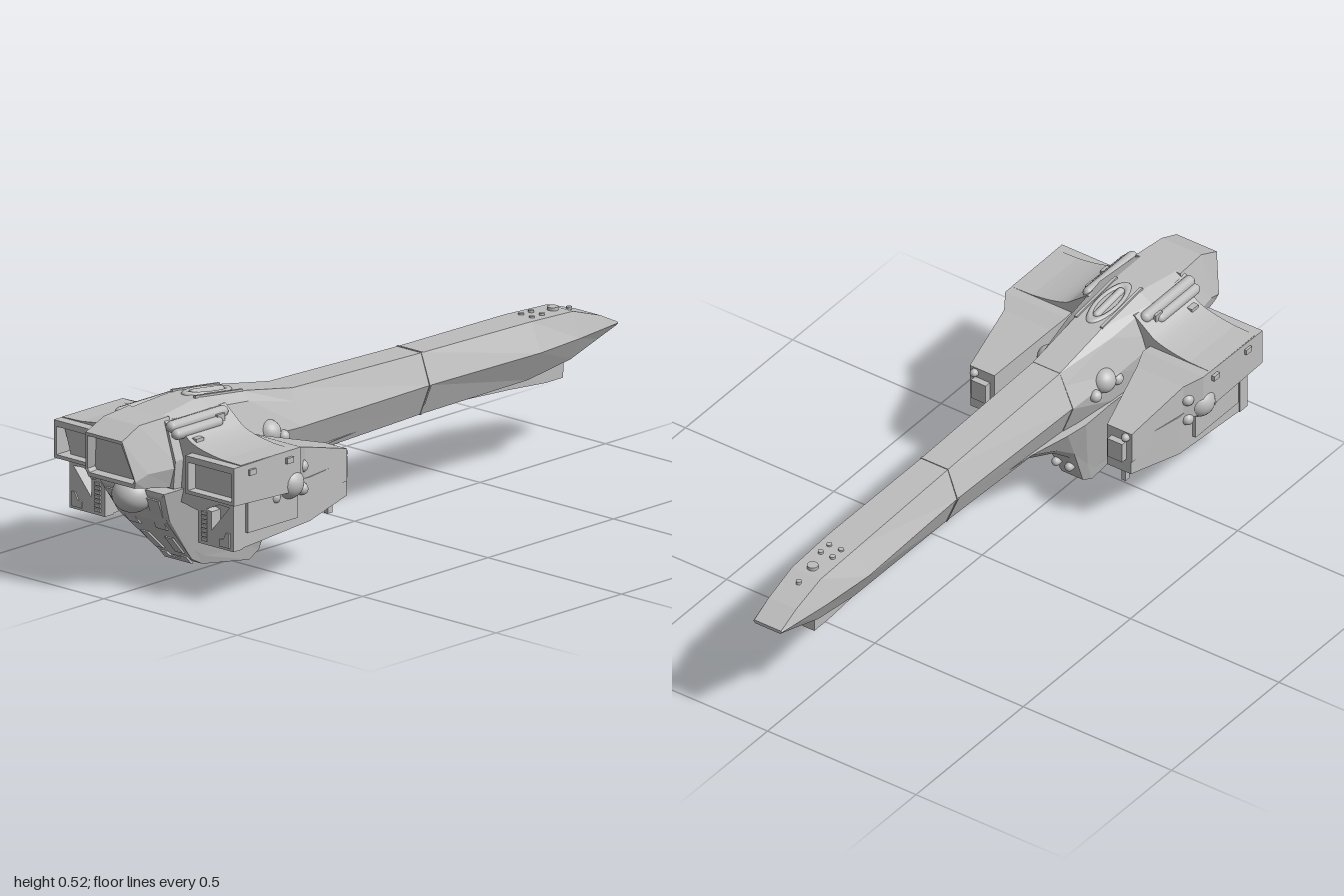
import * as THREE from 'three';

const grey = new THREE.MeshStandardMaterial({ color: 0xbdbdbd });
grey.name = 'hull grey';

// Skin a list of rings (counter-clockwise from +z, front to back) and cap both ends
function loft(rings) {
  const pos = [];
  const tri = (...p) => p.forEach(v => pos.push(...v));
  const n = rings[0].length;
  for (let r = 0; r < rings.length - 1; r++) {
    const A = rings[r], B = rings[r + 1];
    for (let i = 0; i < n; i++) {
      const j = (i + 1) % n;
      tri(A[i], B[i], A[j]);
      tri(A[j], B[i], B[j]);
    }
  }
  const F = rings[0], L = rings[rings.length - 1];
  for (let i = 1; i < n - 1; i++) {
    tri(F[0], F[i], F[i + 1]);
    tri(L[0], L[i + 1], L[i]);
  }
  const g = new THREE.BufferGeometry();
  g.setAttribute('position', new THREE.Float32BufferAttribute(pos, 3));
  g.computeVertexNormals();
  return g;
}

// Ring from a right-hand half profile, listed top to bottom; a point may carry its own z
function sym(z, ...half) {
  const pts = half.map(([x, y, pz = z]) => [x, y, pz]);
  return [...pts.map(([x, y, pz]) => [-x, y, pz]), ...pts.reverse()];
}
const rect = (z, x0, x1, y0, y1) => [[x0, y1, z], [x0, y0, z], [x1, y0, z], [x1, y1, z]];

function mirrored(geo) {
  const g = geo.index ? geo.toNonIndexed() : geo.clone();
  g.scale(-1, 1, 1);
  for (const a of Object.values(g.attributes)) {
    const s = a.itemSize;
    for (let t = 0; t < a.count; t += 3) {
      for (let k = 0; k < s; k++) {
        const i = (t + 1) * s + k, j = (t + 2) * s + k;
        [a.array[i], a.array[j]] = [a.array[j], a.array[i]];
      }
    }
  }
  return g;
}

const box = (w, h, d, x, y, z) => new THREE.BoxGeometry(w, h, d).translate(x, y, z);
const ball = (r, x, y, z) => new THREE.SphereGeometry(r, 24, 16).translate(x, y, z);
const rod = (r, len, x, y, z) =>
  new THREE.CapsuleGeometry(r, len, 4, 12).rotateX(Math.PI / 2).translate(x, y, z);

function plate(points, depth, hole) {
  const shape = new THREE.Shape(points.map(p => new THREE.Vector2(...p)));
  if (hole) shape.holes.push(new THREE.Path(hole.map(p => new THREE.Vector2(...p))));
  return new THREE.ExtrudeGeometry(shape, { depth, bevelEnabled: false });
}

export function createModel() {
  const model = new THREE.Group();
  const add = (name, geo) => {
    const m = new THREE.Mesh(geo, grey);
    m.name = name;
    model.add(m);
  };
  const pair = (name, geo) => {
    add(name + 'Left', geo);
    add(name + 'Right', mirrored(geo));
  };

  // Long tail boom
  const boom = (z, ty, tw, mw, by, bw) => sym(z, [tw, ty], [mw, 0.355], [bw, by]);
  add('tailBoom', loft([
    boom(0.4, 0.47, 0.045, 0.09, 0.26, 0.05),
    boom(0.3, 0.456, 0.045, 0.088, 0.255, 0.05),
    boom(-0.22, 0.442, 0.045, 0.076, 0.265, 0.04),
    boom(-0.65, 0.436, 0.05, 0.088, 0.268, 0.04),
    boom(-0.82, 0.428, 0.048, 0.073, 0.29, 0.04),
    boom(-0.93, 0.392, 0.046, 0.058, 0.325, 0.04),
    boom(-1, 0.358, 0.045, 0.048, 0.348, 0.042),
  ]));
  add('boomSeam', loft([
    boom(-0.217, 0.444, 0.046, 0.079, 0.263, 0.041),
    boom(-0.223, 0.444, 0.046, 0.079, 0.263, 0.041),
  ]));
  add('tailKeel', loft([
    sym(-0.35, [0.02, 0.28], [0.02, 0.262]),
    sym(-0.6, [0.022, 0.28], [0.02, 0.247]),
    sym(-0.74, [0.022, 0.3], [0.02, 0.235]),
    sym(-0.81, [0.022, 0.3], [0.02, 0.235]),
  ]));
  for (const [x, z, r] of [[0, -0.79, 0.016], [0, -0.855, 0.008], [0.02, -0.725, 0.008],
    [-0.02, -0.725, 0.008], [0.02, -0.685, 0.008], [-0.02, -0.685, 0.008]]) {
    add('tailStud', new THREE.CylinderGeometry(r, r, 0.02, 16).translate(x, z < -0.82 ? 0.414 : 0.429, z));
  }

  // Central hull
  add('hull', loft([
    sym(0.84, [0.06, 0.496], [0.085, 0.482], [0.118, 0.38], [0.11, 0.3]),
    sym(0.67, [0.045, 0.513], [0.088, 0.49], [0.128, 0.4], [0.12, 0.29]),
    sym(0.5, [0.045, 0.493], [0.075, 0.47], [0.108, 0.37], [0.095, 0.27]),
    sym(0.3, [0.045, 0.457], [0.06, 0.42], [0.09, 0.355], [0.052, 0.255]),
  ]));

  // Cockpit with its recessed, raked window
  add('cockpit', loft([
    sym(0.95, [0.061, 0.45, 0.965], [0.084, 0.35, 0.945], [0.079, 0.34, 0.943]),
    sym(0.99, [0.063, 0.452, 0.998], [0.087, 0.348, 0.972], [0.081, 0.337, 0.97]),
    sym(0.99, [0.068, 0.462, 1], [0.094, 0.345, 0.974], [0.086, 0.325, 0.969]),
    sym(0.93, [0.066, 0.492], [0.1, 0.36], [0.09, 0.318]),
    sym(0.82, [0.075, 0.497], [0.117, 0.36], [0.1, 0.3]),
  ]));
  add('sensorBall', new THREE.SphereGeometry(0.058, 32, 24).scale(1, 0.88, 1).translate(0, 0.274, 0.885));

  // Belly, narrowing to the keel and fairing into the boom
  add('belly', loft([
    sym(0.89, [0.122, 0.298], [0.115, 0.288], [0.108, 0.285]),
    sym(0.845, [0.122, 0.298], [0.1, 0.21], [0.092, 0.2]),
    sym(0.71, [0.12, 0.298], [0.066, 0.09], [0.058, 0.06]),
    sym(0.66, [0.118, 0.29], [0.058, 0.06], [0.05, 0.035]),
    sym(0.46, [0.1, 0.28], [0.045, 0.04], [0.037, 0]),
    sym(0.42, [0.097, 0.275], [0.052, 0.08], [0.036, 0.02]),
    sym(0.36, [0.09, 0.265], [0.05, 0.15], [0.033, 0.13]),
    sym(0.29, [0.08, 0.265], [0.045, 0.2], [0.03, 0.185]),
    sym(0.15, [0.06, 0.275], [0.035, 0.255], [0.028, 0.247]),
    sym(-0.1, [0.04, 0.28], [0.03, 0.268], [0.025, 0.26]),
  ]));
  // Panels laid along the sloping belly front
  const onBelly = points => {
    const g = plate(points, 0.008);
    const p = g.attributes.position;
    for (let i = 0; i < p.count; i++) {
      const y = p.getY(i);
      p.setZ(i, p.getZ(i) + (y > 0.2 ? 0.845 + (y - 0.2) * 0.53 : 0.71 + (y - 0.06) * 0.964));
    }
    g.computeVertexNormals();
    return g;
  };
  pair('bellyUpperPanel', onBelly([[0.03, 0.17], [0.07, 0.17], [0.102, 0.275], [0.055, 0.275]]));
  pair('bellyLowerPanel', onBelly([[0.022, 0.082], [0.052, 0.082], [0.06, 0.138], [0.032, 0.138]]));
  add('bellyVent', onBelly([[-0.048, 0.068], [-0.05, 0.045], [0.05, 0.045], [0.048, 0.068],
    [0.026, 0.068], [0.02, 0.056], [-0.02, 0.056], [-0.026, 0.068]]));
  pair('bellyRearNozzle', rod(0.013, 0.03, 0.022, 0.085, 0.39));

  // Wing roots sweeping out to the pods
  const root = new THREE.Shape();
  root.moveTo(0.05, 0.3);
  root.lineTo(0.1, 0.26);
  root.lineTo(0.18, 0.245);
  root.lineTo(0.3, 0.3);
  root.lineTo(0.335, 0.408);
  root.lineTo(0.265, 0.41);
  root.quadraticCurveTo(0.17, 0.42, 0.14, 0.44);
  root.lineTo(0.08, 0.488);
  root.lineTo(0.05, 0.488);
  pair('wingRoot', new THREE.ExtrudeGeometry(root, { depth: 0.21, bevelEnabled: false, curveSegments: 8 })
    .translate(0, 0, 0.6));

  // Upper pods with open intakes
  pair('upperPod', loft([
    rect(0.74, 0.165, 0.328, 0.308, 0.388),
    rect(0.84, 0.165, 0.328, 0.308, 0.388),
    rect(0.84, 0.155, 0.338, 0.298, 0.406),
    rect(0.57, 0.13, 0.334, 0.285, 0.408),
    rect(0.52, 0.145, 0.302, 0.275, 0.39),
    rect(0.32, 0.19, 0.273, 0.24, 0.335),
  ]));
  // Lower pods with a pierced front panel, ladder and access plate
  pair('lowerPod', loft([
    rect(0.775, 0.177, 0.306, 0.157, 0.31),
    rect(0.5, 0.177, 0.303, 0.175, 0.3),
    rect(0.32, 0.19, 0.27, 0.2, 0.3),
  ]));
  pair('lowerPodFront', plate([[0.175, 0.155], [0.308, 0.155], [0.308, 0.302], [0.175, 0.302]], 0.035,
    [[0.293, 0.278], [0.2, 0.28], [0.2, 0.258], [0.225, 0.253], [0.225, 0.2]]).translate(0, 0, 0.775));
  for (let i = 0; i < 7; i++) pair('ladderRung', box(0.021, 0.009, 0.006, 0.2, 0.17 + i * 0.0125, 0.812));
  pair('accessPlate', plate([[0.258, 0.163], [0.296, 0.163], [0.296, 0.205], [0.283, 0.205], [0.273, 0.185],
    [0.258, 0.182]], 0.005).translate(0, 0, 0.81));
  pair('podSideBlock', box(0.03, 0.1, 0.2, 0.3, 0.25, 0.66));
  pair('podFoot', box(0.03, 0.01, 0.06, 0.265, 0.155, 0.75));

  // Ball thrusters with small satellites
  pair('podThruster', ball(0.046, 0.303, 0.305, 0.59));
  for (const [y, z] of [[0.34, 0.535], [0.335, 0.645], [0.275, 0.645], [0.275, 0.535]]) {
    pair('podThrusterSatellite', ball(0.018, 0.305, y, z));
  }
  pair('hullThruster', ball(0.036, 0.09, 0.37, 0.44));
  for (const z of [0.39, 0.49]) pair('hullThrusterSatellite', ball(0.018, 0.1, 0.35, z));

  // Outer lugs and pod rear fittings
  for (const z of [0.62, 0.77]) pair('podLug', box(0.012, 0.016, 0.025, 0.338, 0.382, z));
  pair('podRearBlock', box(0.05, 0.06, 0.03, 0.23, 0.275, 0.315));
  pair('podRearNozzle', rod(0.012, 0.02, 0.255, 0.32, 0.325));
  pair('podRearPin', box(0.014, 0.06, 0.018, 0.23, 0.18, 0.35));

  // Twin rods on the shoulders
  pair('upperShoulderRod', rod(0.017, 0.2, 0.096, 0.474, 0.73));
  pair('lowerShoulderRod', rod(0.016, 0.16, 0.115, 0.456, 0.75));
  pair('shoulderBracket', box(0.04, 0.03, 0.03, 0.1, 0.462, 0.66));
  pair('shoulderLug', box(0.02, 0.02, 0.03, 0.145, 0.432, 0.78));

  // Dorsal hatch
  const hatch = g => g.rotateX(-0.117).translate(0, 0.502, 0.59);
  add('hatchRim', hatch(new THREE.TorusGeometry(0.05, 0.01, 8, 32).rotateX(Math.PI / 2).scale(0.6, 0.8, 1.6)));
  add('hatchSpine', hatch(new THREE.CapsuleGeometry(0.012, 0.11, 4, 12).rotateX(Math.PI / 2)));
  pair('hatchRail', hatch(box(0.008, 0.012, 0.19, 0.043, 0, 0)));

  return model;
}
